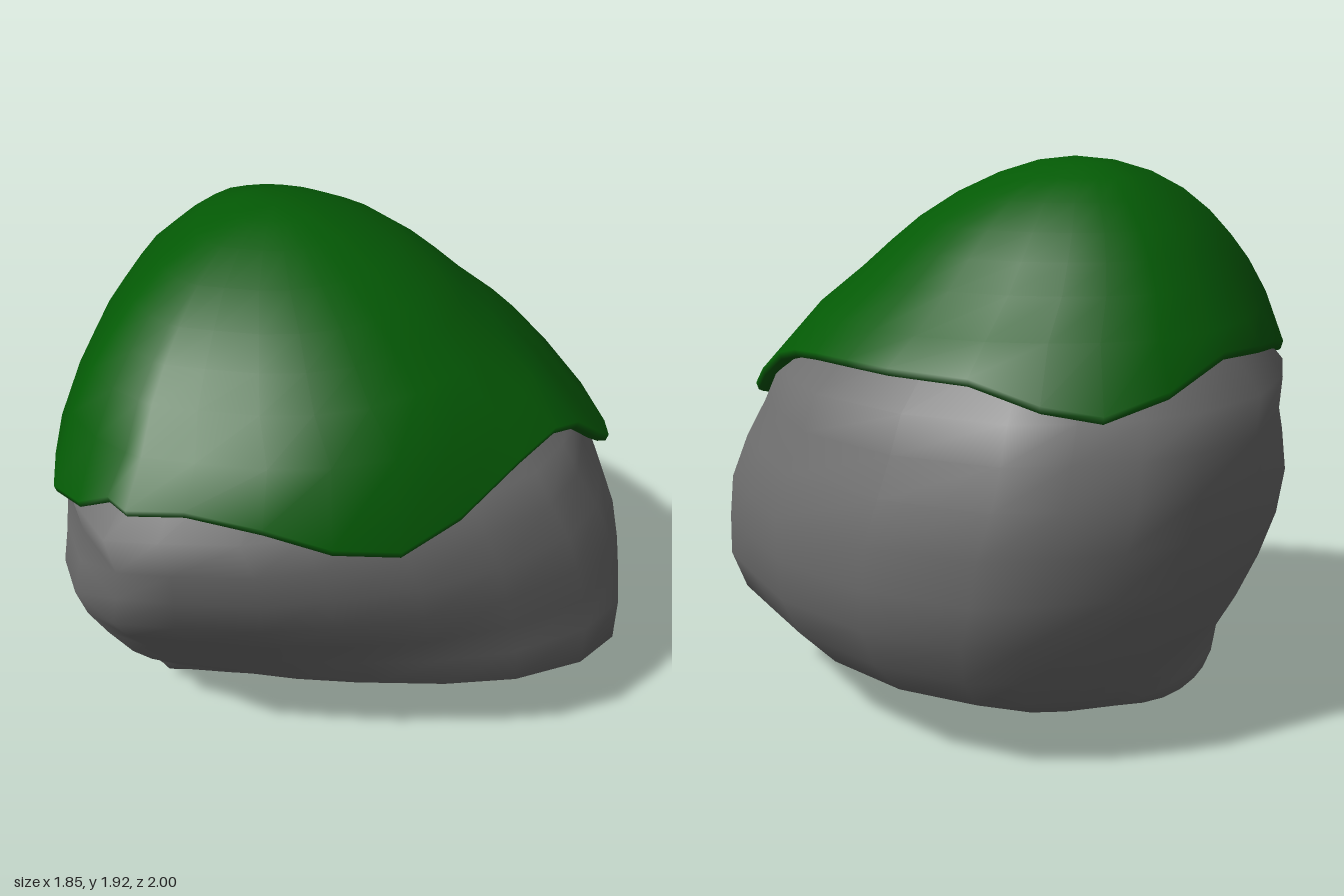
import * as THREE from 'three';

// Closed smooth skin through rings of equal point count, listed bottom to top.
// Points run back, +x, front, -x around each ring.
function loft(rings, bottom, top) {
  const n = rings[0].length;
  const pos = rings.flat(2);
  const idx = [];
  for (let i = 0; i < rings.length - 1; i++) {
    for (let j = 0; j < n; j++) {
      const a = i * n + j, b = i * n + (j + 1) % n;
      idx.push(a, a + n, b, b, a + n, b + n);
    }
  }
  const p = rings.length * n, last = p - n;
  pos.push(...bottom, ...top);
  for (let j = 0; j < n; j++) {
    const k = (j + 1) % n;
    idx.push(p, j, k, p + 1, last + k, last + j);
  }
  const g = new THREE.BufferGeometry();
  g.setAttribute('position', new THREE.Float32BufferAttribute(pos, 3));
  g.setIndex(idx);
  g.computeVertexNormals();
  return g;
}

// Fits a plan outline of [x, z] points into the extents of one level;
// rounded levels have their corners trimmed to an ellipse.
function fitRing(outline, [y, x0, x1, z0, z1], rounded) {
  const xs = outline.map(p => p[0]), zs = outline.map(p => p[1]);
  const ax = Math.min(...xs), bx = Math.max(...xs);
  const az = Math.min(...zs), bz = Math.max(...zs);
  return outline.map(([x, z]) => {
    const u = 2 * (x - ax) / (bx - ax) - 1, v = 2 * (z - az) / (bz - az) - 1;
    const s = rounded ? Math.min(1, 1 / Math.hypot(u, v)) : 1;
    return [(x0 + x1 + u * s * (x1 - x0)) / 2, y, (z0 + z1 + v * s * (z1 - z0)) / 2];
  });
}

function buildRock() {
  // plan of the upper rock, pointing forward
  const upper = [
    [0.08, -1], [0.36, -0.95], [0.6, -0.88], [0.73, -0.74], [0.87, -0.52], [0.92, -0.3],
    [0.88, 0], [0.78, 0.28], [0.62, 0.53], [0.5, 0.7], [0.3, 0.88], [0.16, 0.99],
    [-0.1, 0.92], [-0.3, 0.82], [-0.45, 0.71], [-0.69, 0.47], [-0.87, 0.18],
    [-0.93, -0.13], [-0.9, -0.35], [-0.8, -0.55], [-0.68, -0.73], [-0.35, -0.92],
  ];
  // plan of the lower rock, with a keel at the front toward -x
  const lower = [
    [0.08, -1], [0.38, -0.96], [0.67, -0.92], [0.82, -0.8], [0.92, -0.65], [0.92, -0.4],
    [0.8, -0.1], [0.62, 0.15], [0.42, 0.36], [0.2, 0.56], [-0.05, 0.75], [-0.25, 0.9],
    [-0.4, 0.99], [-0.52, 0.93], [-0.63, 0.82], [-0.77, 0.55], [-0.88, 0.25],
    [-0.93, -0.05], [-0.9, -0.3], [-0.8, -0.55], [-0.68, -0.73], [-0.35, -0.92],
  ];
  // y, left and right x, back and front z
  const levels = [
    [0.05, -0.45, -0.15, 0.0, 0.43],
    [0.1, -0.55, 0.12, -0.2, 0.46],
    [0.17, -0.62, 0.34, -0.55, 0.51],
    [0.25, -0.67, 0.73, -0.8, 0.58],
    [0.35, -0.73, 0.92, -0.89, 0.67],
    [0.5, -0.81, 0.92, -0.97, 0.77],
    [0.65, -0.87, 0.92, -0.99, 0.86],
    [0.8, -0.9, 0.91, -1.0, 0.94],
    [0.95, -0.93, 0.89, -0.96, 0.965],
    [1.08, -0.91, 0.84, -0.91, 0.98],
    [1.2, -0.89, 0.79, -0.87, 1.0],
    [1.4, -0.75, 0.62, -0.68, 0.78],
    [1.6, -0.58, 0.38, -0.46, 0.56],
  ];
  const rings = levels.map(l => {
    const t = THREE.MathUtils.clamp((l[0] - 0.35) / 0.7, 0, 1);
    const plan = lower.map(([x, z], i) => [x + (upper[i][0] - x) * t, z + (upper[i][1] - z) * t]);
    return fitRing(plan, l, l[0] > 1.3);
  });
  return loft(rings, [-0.32, 0, 0.17], [-0.1, 1.72, 0.05]);
}

function buildMoss() {
  // ragged lower rim
  const rim = [
    [0, 1.31, -0.88], [0.18, 1.29, -0.86], [0.35, 1.25, -0.83], [0.54, 1.16, -0.8],
    [0.68, 1.08, -0.76], [0.73, 1.06, -0.72], [0.765, 1.14, -0.6], [0.775, 1.25, -0.45],
    [0.79, 1.3, -0.3], [0.805, 1.28, -0.1], [0.785, 1.18, 0.15], [0.73, 1.12, 0.36],
    [0.62, 1.17, 0.55], [0.48, 1.25, 0.7], [0.29, 1.29, 0.84], [0.14, 1.27, 0.94],
    [0.08, 1.3, 0.955], [-0.06, 1.22, 0.967], [-0.24, 1.175, 0.93], [-0.36, 1.2, 0.83],
    [-0.48, 1.24, 0.71], [-0.65, 1.29, 0.5], [-0.79, 1.32, 0.28], [-0.875, 1.34, 0.04],
    [-0.92, 1.26, -0.22], [-0.885, 1.21, -0.44], [-0.77, 1.24, -0.58], [-0.61, 1.31, -0.72],
    [-0.38, 1.32, -0.85], [-0.2, 1.32, -0.88],
  ];
  const lip = (s, dy) => rim.map(([x, y, z]) => [(x + 0.06) * s - 0.06, y + dy, z * s]);
  const outline = rim.map(p => [p[0], p[2]]);
  const levels = [
    [1.43, -0.875, 0.725, -0.8, 0.865],
    [1.55, -0.79, 0.59, -0.66, 0.77],
    [1.64, -0.72, 0.49, -0.565, 0.68],
    [1.72, -0.65, 0.39, -0.475, 0.585],
    [1.8, -0.55, 0.25, -0.365, 0.46],
    [1.865, -0.45, 0.11, -0.23, 0.31],
    [1.905, -0.31, -0.02, -0.1, 0.17],
  ];
  // turned-under lip, then the dome
  const rings = [lip(0.9, 0.05), lip(0.965, 0.003), lip(0.992, 0.006), lip(1, 0.03),
    ...levels.map(l => fitRing(outline, l, true))];
  return loft(rings, [-0.06, 1.4, 0], [-0.14, 1.92, 0.04]);
}

export function createModel() {
  const stone = new THREE.MeshStandardMaterial({ color: 0x707070 });
  stone.name = 'stone grey';
  const green = new THREE.MeshStandardMaterial({ color: 0x045a05 });
  green.name = 'moss green';

  const group = new THREE.Group();
  group.name = 'mossyRock';
  const rock = new THREE.Mesh(buildRock(), stone);
  rock.name = 'rock';
  const moss = new THREE.Mesh(buildMoss(), green);
  moss.name = 'mossCap';
  group.add(rock, moss);
  return group;
}
